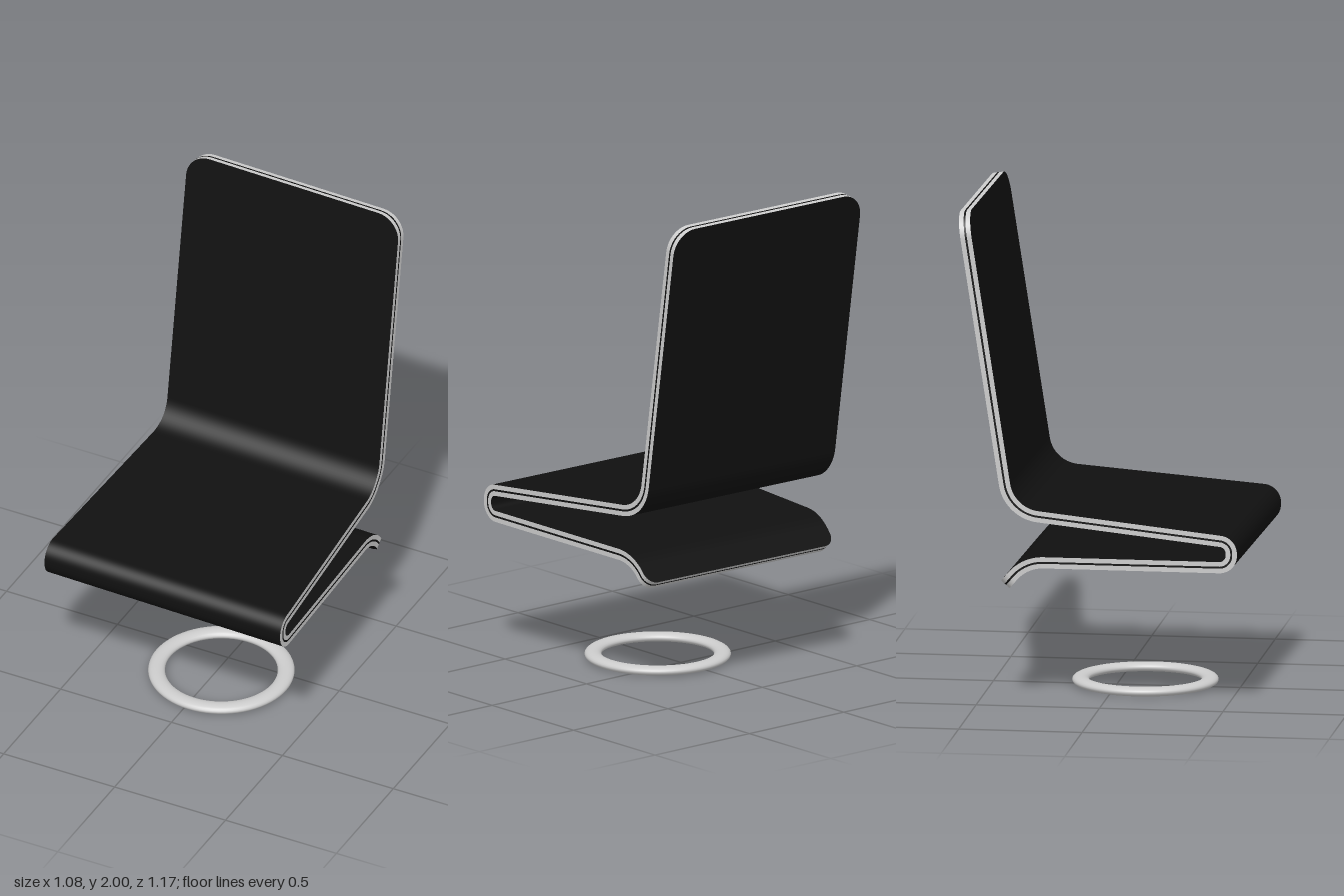
import * as THREE from 'three';

const black = new THREE.MeshStandardMaterial({ color: 0x101010, side: THREE.DoubleSide });
const grey = new THREE.MeshStandardMaterial({ color: 0xcccccc, side: THREE.DoubleSide });

// Side profile [z, y, bend radius], from the top of the back to the tail under the seat
const PROFILE = [
  [-0.55, 1.996, 0], [-0.36, 0.781, 0.15], [0.553, 0.7, 0.05],
  [0.553, 0.597, 0.05], [-0.295, 0.582, 0.17], [-0.382, 0.48, 0],
];
const HALF = 0.023;      // half of the sheet thickness
const CORE = 0.004;      // half of the dark middle layer
const TOP_R = 0.1, TAIL_R = 0.05;

// Half width: widest at the front fold, tapering towards the back
const halfWidth = (z) => THREE.MathUtils.mapLinear(THREE.MathUtils.clamp(z, -0.34, 0.5), -0.34, 0.5, 0.484, 0.538);

// Stations along the profile: point p, normal n and inset for the rounded end corners
function makeStations() {
  const pts = PROFILE.map(([z, y]) => new THREE.Vector2(z, y));
  const dir = (i) => pts[i + 1].clone().sub(pts[i]).normalize();
  const out = [];
  const add = (p, t, inset = 0) => out.push({ p, n: new THREE.Vector2(-t.y, t.x), inset });
  const last = pts.length - 1, steps = 10;
  const corner = (end, t, into, r, a) =>
    add(end.clone().addScaledVector(t, into * r * (1 - Math.cos(a))), t, r * (1 - Math.sin(a)));

  for (let k = 0; k <= steps; k++) corner(pts[0], dir(0), 1, TOP_R, (k / steps) * Math.PI / 2);
  for (let i = 1; i < last; i++) {
    const t0 = dir(i - 1), t1 = dir(i), r = PROFILE[i][2];
    const turn = Math.atan2(t0.cross(t1), t0.dot(t1)), side = Math.sign(turn);
    const start = pts[i].clone().addScaledVector(t0, -r * Math.tan(Math.abs(turn) / 2));
    const centre = start.clone().add(new THREE.Vector2(-t0.y, t0.x).multiplyScalar(side * r));
    for (let k = 0; k <= 14; k++) {
      const a = (turn * k) / 14;
      add(start.clone().rotateAround(centre, a), t0.clone().rotateAround(new THREE.Vector2(), a));
    }
  }
  for (let k = steps; k >= 0; k--) corner(pts[last], dir(last - 1), -1, TAIL_R, (k / steps) * Math.PI / 2);
  return out;
}

const stations = makeStations();

// Point on the sheet: station, side (-1..1) and offset from the middle surface
function sheetPoint(s, u, d) {
  return [u * (halfWidth(s.p.x) - s.inset), s.p.y + s.n.y * d, s.p.x + s.n.x * d];
}

// Skin a list of two-point rows into a strip
function strip(rows) {
  const index = [];
  for (let i = 0; i < rows.length - 1; i++) {
    const a = i * 2;
    index.push(a, a + 2, a + 3, a, a + 3, a + 1);
  }
  const g = new THREE.BufferGeometry();
  g.setAttribute('position', new THREE.Float32BufferAttribute(rows.flat(2), 3));
  g.setIndex(index);
  g.computeVertexNormals();
  return g;
}

// Broad face at offset d
const face = (d) => {
  const s = Math.sign(d);
  return strip(stations.map((st) => [sheetPoint(st, -s, d), sheetPoint(st, s, d)]));
};

// Edge band running round the whole outline between two offsets
function rim(lo, hi) {
  const outline = [...stations.map((s) => [s, 1]), ...[...stations].reverse().map((s) => [s, -1])];
  outline.push(outline[0]);
  return strip(outline.map(([s, u]) => [sheetPoint(s, u, hi), sheetPoint(s, u, lo)]));
}

function part(parent, name, geometry, material) {
  const m = new THREE.Mesh(geometry, material);
  m.name = name;
  parent.add(m);
  return m;
}

export function createModel() {
  const model = new THREE.Group();
  model.name = 'chair';

  // Bent layered seat shell, turned very slightly
  const shell = new THREE.Group();
  shell.name = 'seatShell';
  part(shell, 'upperFace', face(HALF), black);
  part(shell, 'lowerFace', face(-HALF), black);
  part(shell, 'upperEdge', rim(CORE, HALF), grey);
  part(shell, 'middleEdge', rim(-CORE, CORE), black);
  part(shell, 'lowerEdge', rim(-HALF, -CORE), grey);
  shell.rotation.y = -0.025;
  shell.position.x = 0.012;
  model.add(shell);

  // Flattened floor ring
  const ring = new THREE.TorusGeometry(0.26, 0.034, 20, 72);
  ring.rotateX(-Math.PI / 2);
  ring.scale(1, 0.56, 1);
  part(model, 'floorRing', ring, grey).position.set(0.026, 0.019, 0.112);

  return model;
}
